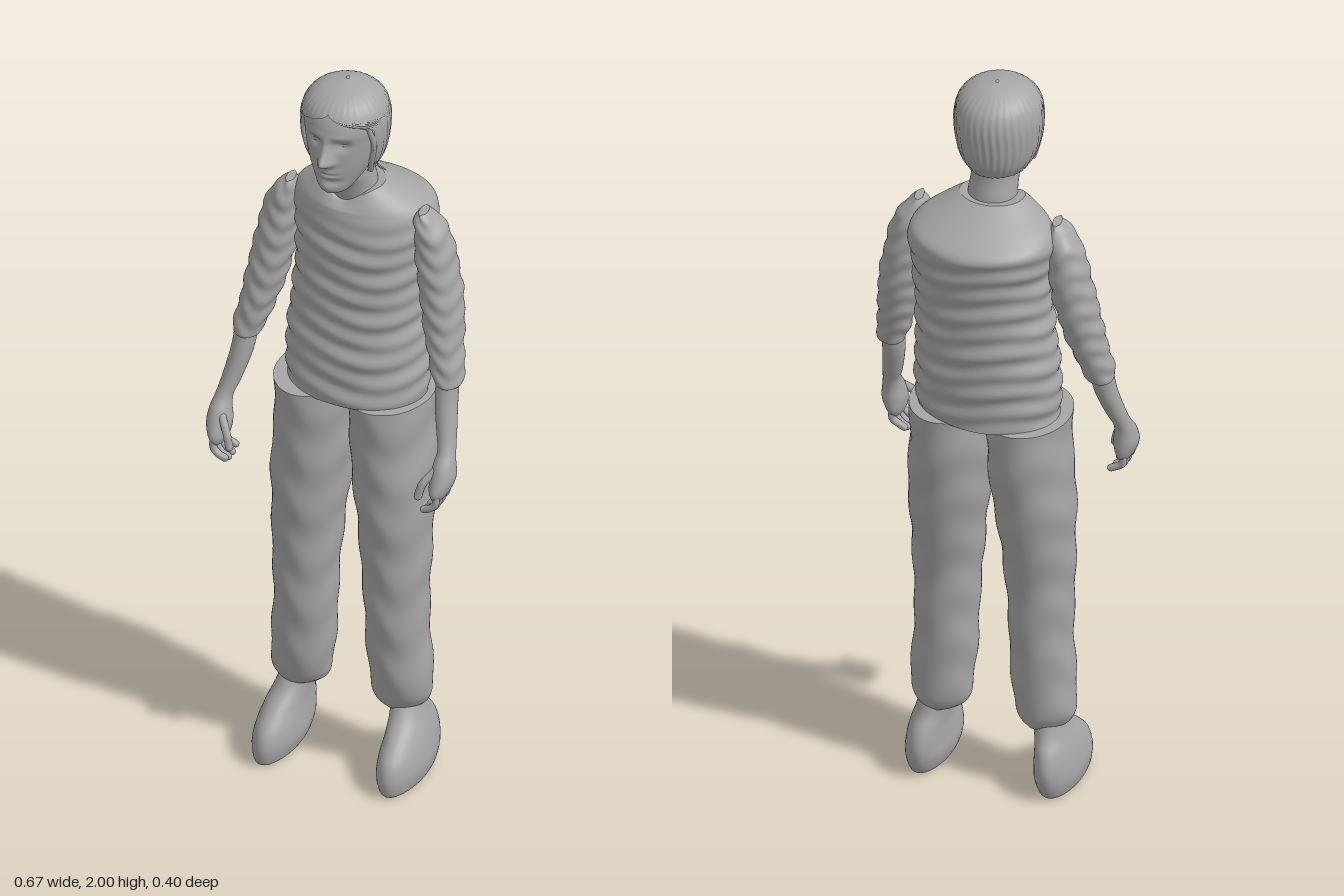
import * as THREE from 'three';

const grey = new THREE.MeshStandardMaterial({ color: 0xa6a6a6, side: THREE.DoubleSide });
grey.name = 'plain grey';

const gauss = (d, s) => Math.exp(-(d * d) / (2 * s * s));
const TAU = Math.PI * 2;

function add(parent, name, geometry) {
  const mesh = new THREE.Mesh(geometry, grey);
  mesh.name = name;
  parent.add(mesh);
  return mesh;
}

// Skin over oval sections [y, xMin, xMax, zBack, zFront], listed bottom to top.
// deform(point, angle) shapes the surface; gap(y) opens it at the front.
function loft(rows, { segs = 40, sub = 8, deform, gap, cap = true } = {}) {
  const curve = (f) => new THREE.CatmullRomCurve3(rows.map(f), false, 'catmullrom', 0.5);
  const a = curve((r) => new THREE.Vector3(r[0], r[1], r[2]));
  const b = curve((r) => new THREE.Vector3(r[3], r[4], 0));
  const count = (rows.length - 1) * sub;
  const rings = [];
  for (let i = 0; i <= count; i++) {
    const p = a.getPoint(i / count), q = b.getPoint(i / count);
    const open = gap ? gap(p.x) : 0;
    const ring = [];
    for (let j = 0; j < segs; j++) {
      const t = open + (TAU - 2 * open) * (j / (gap ? segs - 1 : segs));
      const v = new THREE.Vector3(
        (p.y + p.z) / 2 + Math.sin(t) * (p.z - p.y) / 2, p.x,
        (q.x + q.y) / 2 + Math.cos(t) * (q.y - q.x) / 2);
      if (deform) deform(v, t);
      ring.push(v);
    }
    rings.push(ring);
  }
  if (cap) {
    const centre = (ring) => {
      const c = new THREE.Vector3();
      ring.forEach((v) => c.add(v));
      c.divideScalar(segs);
      return ring.map(() => c);
    };
    const first = rings[0], last = rings[count];
    rings.unshift(centre(first), first);
    rings.push(last, centre(last));
  }
  const index = [];
  for (let i = 0; i < rings.length - 1; i++) {
    for (let j = 0; j < (gap ? segs - 1 : segs); j++) {
      const k = (j + 1) % segs;
      const p = i * segs + j, q = i * segs + k;
      index.push(p, q, p + segs, q, q + segs, p + segs);
    }
  }
  const g = new THREE.BufferGeometry().setFromPoints(rings.flat());
  g.setIndex(index);
  g.computeVertexNormals();
  return g;
}

// Mirror section rows to one side of the body
const onSide = (rows, s, shift = () => 0) => rows.map(([y, i, o, zb, zf]) => {
  const m = shift(y);
  return s > 0 ? [y, i + m, o + m, zb, zf] : [y, -o, -i, zb, zf];
});

// Cloth folds pushed outward from the section
const folds = (amp, freq, slant, also) => (v, t) => {
  const w = Math.sin(v.y * freq + slant * Math.sin(t + 0.6) + Math.sin(3 * t))
    + 0.5 * Math.sin(v.y * freq * 0.57 + 2 * Math.cos(2 * t) + 1);
  v.x += Math.sin(t) * amp * w;
  v.z += Math.cos(t) * amp * w;
  if (also) also(v, t);
};

const torsoRows = [
  [1.085, -0.178, 0.19, -0.145, 0.125], [1.2, -0.18, 0.19, -0.155, 0.12],
  [1.3, -0.172, 0.185, -0.16, 0.112], [1.4, -0.162, 0.185, -0.165, 0.11],
  [1.5, -0.16, 0.19, -0.175, 0.11], [1.57, -0.168, 0.197, -0.187, 0.106],
  [1.61, -0.173, 0.195, -0.19, 0.1], [1.64, -0.155, 0.17, -0.15, 0.093],
  [1.67, -0.115, 0.125, -0.1, 0.083], [1.695, -0.08, 0.085, -0.06, 0.074]];

const legRows = [
  [0.185, 0.085, 0.185, -0.045, 0.055], [0.205, 0.065, 0.205, -0.055, 0.07],
  [0.25, 0.055, 0.215, -0.062, 0.082], [0.4, 0.045, 0.205, -0.07, 0.096],
  [0.6, 0.035, 0.206, -0.08, 0.106], [0.8, 0.014, 0.212, -0.115, 0.118],
  [0.95, 0, 0.206, -0.137, 0.122], [1.087, -0.004, 0.203, -0.143, 0.128]];

const footRows = [
  [0, 0.135, 0.207, -0.055, 0.17], [0.012, 0.12, 0.22, -0.075, 0.182],
  [0.05, 0.11, 0.227, -0.092, 0.186], [0.09, 0.112, 0.222, -0.096, 0.172],
  [0.13, 0.115, 0.212, -0.085, 0.13], [0.17, 0.112, 0.198, -0.06, 0.08],
  [0.22, 0.105, 0.185, -0.045, 0.045]];

const sleeveRows = [
  [1.185, 0.237, 0.292, 0.015, 0.078], [1.2, 0.228, 0.303, 0.003, 0.09],
  [1.3, 0.192, 0.287, -0.028, 0.08], [1.4, 0.166, 0.272, -0.05, 0.07],
  [1.5, 0.15, 0.253, -0.056, 0.06], [1.58, 0.145, 0.232, -0.05, 0.052],
  [1.62, 0.146, 0.205, -0.035, 0.046], [1.645, 0.158, 0.178, -0.02, 0.035]];

const forearmRows = [
  [0.915, 0.282, 0.314, 0.105, 0.178], [0.935, 0.275, 0.325, 0.092, 0.185],
  [0.965, 0.272, 0.334, 0.088, 0.175], [1, 0.277, 0.33, 0.088, 0.158],
  [1.03, 0.278, 0.322, 0.08, 0.135], [1.07, 0.264, 0.314, 0.062, 0.118],
  [1.15, 0.243, 0.3, 0.032, 0.096], [1.24, 0.235, 0.293, 0.015, 0.075]];

const headRows = [
  [1.722, -0.02, 0.02, 0.09, 0.135], [1.735, -0.042, 0.042, 0.055, 0.152],
  [1.78, -0.072, 0.072, -0.02, 0.157], [1.82, -0.088, 0.088, -0.05, 0.159],
  [1.87, -0.097, 0.097, -0.06, 0.161], [1.92, -0.099, 0.099, -0.06, 0.161],
  [1.96, -0.084, 0.084, -0.04, 0.138], [1.983, -0.05, 0.05, 0, 0.1],
  [1.99, -0.005, 0.005, 0.03, 0.04]];

const hairRows = [
  [1.765, -0.075, 0.075, -0.042, 0.125], [1.8, -0.095, 0.095, -0.06, 0.15],
  [1.85, -0.107, 0.107, -0.07, 0.165], [1.91, -0.11, 0.11, -0.072, 0.168],
  [1.955, -0.097, 0.097, -0.055, 0.15], [1.985, -0.062, 0.062, -0.015, 0.108],
  [2, -0.004, 0.004, 0.03, 0.04]];

// Nose, brow, eye sockets, lips and chin
function shapeFace(v, t) {
  const front = Math.cos(t);
  if (front <= 0) return;
  const { x, y } = v;
  const ax = Math.abs(x);
  v.z += front * (
    0.034 * gauss(x, 0.011) * gauss(y - 1.833, 0.013)
    + 0.02 * gauss(x, 0.01) * gauss(y - 1.86, 0.02)
    + 0.01 * gauss(ax - 0.016, 0.007) * gauss(y - 1.827, 0.008)
    - 0.013 * gauss(ax - 0.036, 0.015) * gauss(y - 1.873, 0.011)
    + 0.005 * gauss(ax - 0.035, 0.022) * gauss(y - 1.898, 0.008)
    + 0.01 * gauss(x, 0.021) * gauss(y - 1.789, 0.013)
    - 0.007 * gauss(x, 0.02) * gauss(y - 1.788, 0.003)
    - 0.006 * gauss(x, 0.025) * gauss(y - 1.766, 0.007)
    + 0.007 * gauss(x, 0.02) * gauss(y - 1.745, 0.012));
}

function rod(parent, name, points, radius) {
  const path = new THREE.CatmullRomCurve3(points.map((p) => new THREE.Vector3(...p)));
  add(parent, name, new THREE.TubeGeometry(path, 12, radius, 10));
  for (const p of [points[0], points[points.length - 1]]) {
    add(parent, name + 'End', new THREE.SphereGeometry(radius, 10, 8)).position.set(...p);
  }
}

export function createModel() {
  const model = new THREE.Group();
  model.name = 'standingFigure';

  // Top with horizontal folds and a dipped neckline
  add(model, 'top', loft(torsoRows, {
    segs: 64, sub: 14,
    deform: (v, t) => {
      const fade = THREE.MathUtils.clamp((1.63 - v.y) / 0.08, 0, 1);
      folds(0.0035 * fade, 108, 2, (p) => {
        if (Math.cos(t) > 0 && p.y > 1.64) p.y -= (p.y - 1.64) * 0.7 * gauss(p.x, 0.04) * Math.cos(t);
      })(v, t);
    },
  }));

  // Head, eyes and neck
  const head = new THREE.Group();
  head.name = 'head';
  model.add(head);
  add(head, 'face', loft(headRows, { segs: 112, sub: 14, deform: shapeFace }));
  add(head, 'neck', loft([
    [1.63, -0.062, 0.072, -0.05, 0.06], [1.7, -0.057, 0.066, -0.045, 0.08],
    [1.74, -0.056, 0.062, -0.038, 0.1], [1.79, -0.058, 0.06, -0.035, 0.11]]));
  for (const s of [-1, 1]) {
    const eye = add(head, 'eye', new THREE.SphereGeometry(0.012, 16, 12));
    eye.position.set(s * 0.036, 1.872, 0.133);
    eye.scale.set(1.1, 0.7, 0.8);
  }

  // Hair cap, open around the face, with loose locks at the temples
  add(head, 'hair', loft(hairRows, {
    segs: 120, sub: 10, cap: false,
    gap: (y) => 1.15 * (1 - THREE.MathUtils.smoothstep(y, 1.905, 1.958)),
    deform: (v, t) => {
      const k = 0.0012 * Math.sin(t * 36 + Math.sin(v.y * 30)) * Math.min(1, (2 - v.y) * 20);
      v.x += Math.sin(t) * k;
      v.z += Math.cos(t) * k;
    },
  }));
  for (const s of [-1, 1]) {
    rod(head, 'hairLock', [[s * 0.085, 1.92, 0.105], [s * 0.096, 1.86, 0.09],
      [s * 0.088, 1.81, 0.085], [s * 0.08, 1.775, 0.075]], 0.007);
  }
  rod(head, 'looseStrand', [[0.088, 1.81, 0.06], [0.092, 1.785, 0.06], [0.11, 1.77, 0.055]], 0.002);

  for (const s of [-1, 1]) {
    const side = s > 0 ? 'left' : 'right';
    const shift = (y) => 0.025 * THREE.MathUtils.clamp((y - 1) / 0.4, 0, 1);

    // Trouser leg and foot
    add(model, side + 'TrouserLeg', loft(onSide(legRows, s), { segs: 48, sub: 16, deform: folds(0.0022, 42, 2) }));
    add(model, side + 'Foot', loft(onSide(footRows, s), { segs: 40 }));

    // Sleeve and bare forearm with palm
    const arm = new THREE.Group();
    arm.name = side + 'Arm';
    model.add(arm);
    add(arm, 'sleeve', loft(onSide(sleeveRows, s, shift), { sub: 14, deform: folds(0.0022, 110, 3) }));
    add(arm, 'forearm', loft(onSide(forearmRows, s, shift), { segs: 28 }));

    // Curled fingers and thumb
    for (let i = 0; i < 4; i++) {
      const z = 0.108 + i * 0.021;
      const drop = [0.012, 0.002, 0, 0.008][i];
      rod(arm, 'finger', [[s * 0.302, 0.935, z], [s * 0.301, 0.905, z + 0.002],
        [s * 0.287, 0.882 + drop, z + 0.003], [s * 0.27, 0.874 + drop, z + 0.002]], 0.0095);
    }
    rod(arm, 'thumb', [[s * 0.288, 0.985, 0.15], [s * 0.266, 0.955, 0.172], [s * 0.256, 0.92, 0.178]], 0.0105);
  }
  return model;
}
